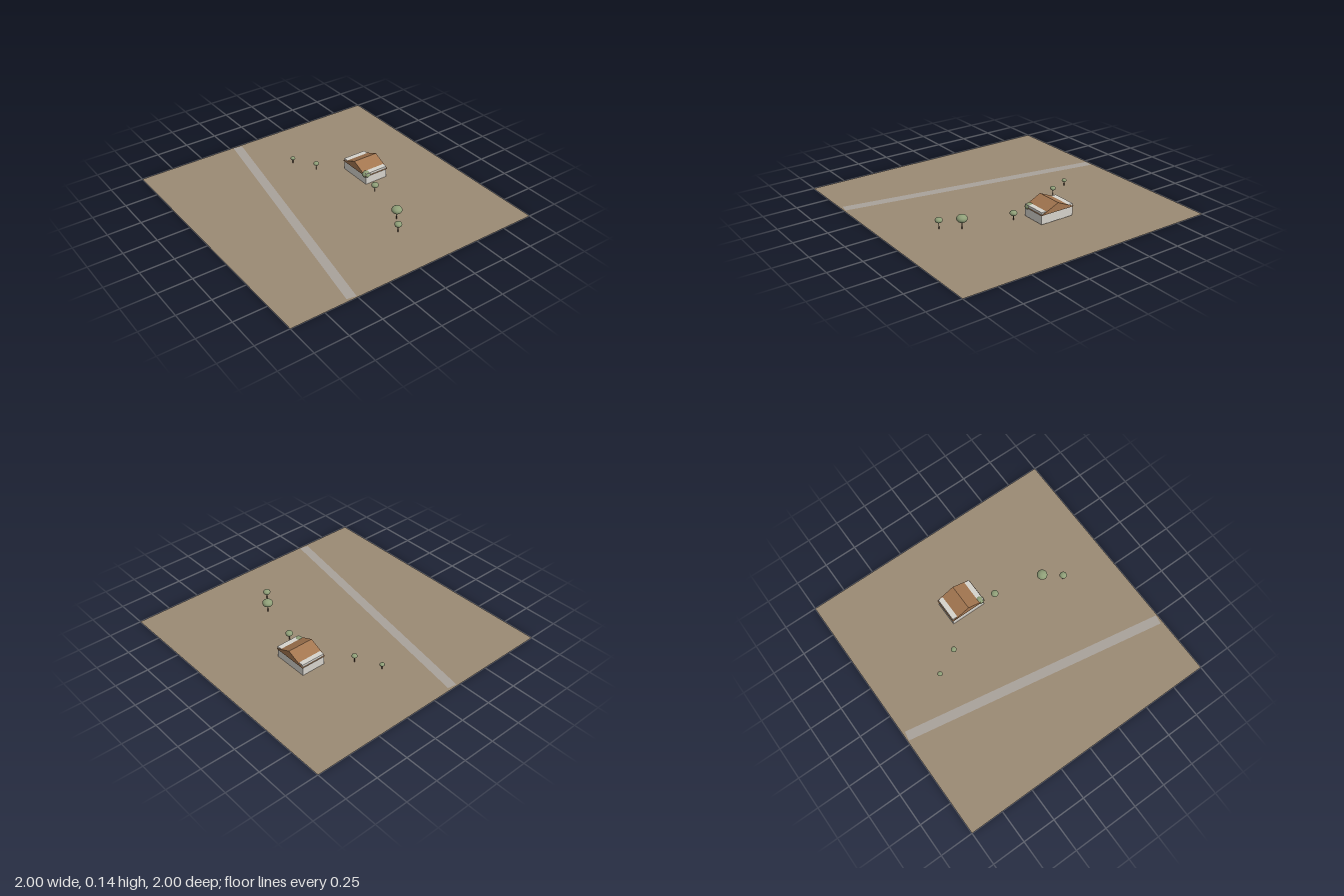
import * as THREE from 'three';

const mat = (color, extra = {}) => new THREE.MeshStandardMaterial({ color, ...extra });

function add(parent, name, geometry, material, x = 0, y = 0, z = 0) {
  const mesh = new THREE.Mesh(geometry, material);
  mesh.name = name;
  mesh.position.set(x, y, z);
  parent.add(mesh);
  return mesh;
}

export function createModel() {
  const model = new THREE.Group();
  model.name = 'houseSite';

  // Flat ground and the path crossing it at an angle
  const ground = mat(0x9b8a74, { side: THREE.DoubleSide });
  add(model, 'ground', new THREE.PlaneGeometry(2, 2).rotateX(-Math.PI / 2), ground);
  const pathMat = mat(0xa8a29a, { side: THREE.DoubleSide });
  const path = add(model, 'path', new THREE.PlaneGeometry(2, 0.07).rotateX(-Math.PI / 2),
    pathMat, 0, 0.002, 0.363);
  path.rotation.y = -Math.PI / 18;

  // House: walls whose upper corners rise through the gable roof
  const house = new THREE.Group();
  house.name = 'house';
  house.position.set(-0.112, 0, -0.4);
  model.add(house);
  add(house, 'walls', new THREE.BoxGeometry(0.27, 0.09, 0.186), mat(0xd6d3cc), 0, 0.05, 0);

  const gable = new THREE.Shape([
    new THREE.Vector2(-0.141, 0.075),
    new THREE.Vector2(0.141, 0.075),
    new THREE.Vector2(0, 0.138),
  ]);
  const roof = new THREE.ExtrudeGeometry(gable, { depth: 0.2, bevelEnabled: false });
  add(house, 'roof', roof, mat(0xa37650), 0, 0, -0.1);

  // Trees: x, z, crown height, crown radius
  const trees = [
    [-0.546, -0.04, 0.041, 0.018],
    [-0.365, -0.13, 0.053, 0.021],
    [0, -0.325, 0.077, 0.032],
    [0.125, -0.31, 0.053, 0.027],
    [0.488, -0.22, 0.077, 0.039],
    [0.615, -0.13, 0.065, 0.027],
  ];
  const crownMat = mat(0x8f9f78);
  const trunkMat = mat(0x5a4634);
  for (const [x, z, y, r] of trees) {
    const tree = new THREE.Group();
    tree.name = 'tree';
    tree.position.set(x, 0, z);
    model.add(tree);
    add(tree, 'trunk', new THREE.CylinderGeometry(0.002, 0.003, y, 8), trunkMat, 0, y / 2, 0);
    const crown = add(tree, 'crown', new THREE.SphereGeometry(r, 20, 14), crownMat, 0, y, 0);
    crown.scale.y = 0.73;
  }
  return model;
}
